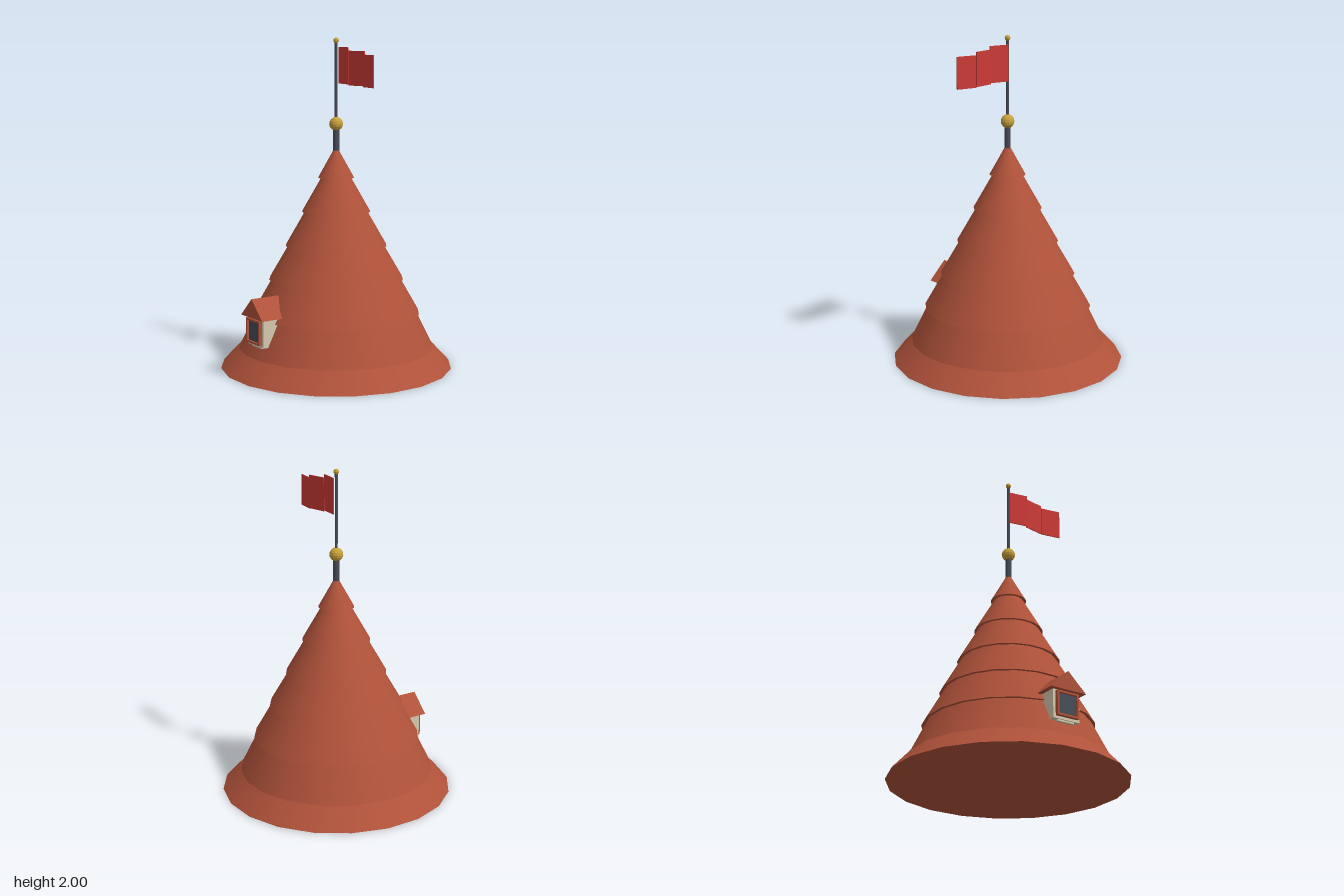
import * as THREE from 'three';

export function createModel() {
  const model = new THREE.Group();
  const mat = (name, color, extra = {}) => {
    const m = new THREE.MeshStandardMaterial({ color, ...extra });
    m.name = name;
    return m;
  };
  const tile = mat('roof tile', 0xb0523a);
  const cream = mat('cream plaster', 0xd6cab0);
  const iron = mat('dark iron', 0x484c57);
  const gold = mat('gold', 0xc9a13c, { flatShading: true });
  const red = mat('flag red', 0xcc3a36);

  const add = (parent, name, geometry, material, x = 0, y = 0, z = 0) => {
    const mesh = new THREE.Mesh(geometry, material);
    mesh.name = name;
    mesh.position.set(x, y, z);
    parent.add(mesh);
    return mesh;
  };
  const box = (parent, name, w, h, d, material, x, y, z) =>
    add(parent, name, new THREE.BoxGeometry(w, h, d), material, x, y, z);

  // Overlapping conical roof tiers: [bottom y, bottom radius, top y, top radius]
  const SIDES = 20;
  const roof = new THREE.Group();
  roof.name = 'coneRoof';
  model.add(roof);
  const tiers = [
    [0, 0.709, 0.12, 0.597],
    [0.12, 0.597, 0.332, 0.492],
    [0.332, 0.511, 0.54, 0.392],
    [0.54, 0.411, 0.746, 0.291],
    [0.746, 0.309, 0.953, 0.19],
    [0.953, 0.208, 1.16, 0.09],
    [1.16, 0.109, 1.335, 0.012],
  ];
  tiers.forEach(([y0, r0, y1, r1], i) => {
    const g = new THREE.CylinderGeometry(r1, r0, y1 - y0, SIDES, 1, false, Math.PI / SIDES);
    add(roof, i === 0 ? 'flaredEave' : 'roofTier' + i, g, tile, 0, (y0 + y1) / 2, 0);
  });

  // Mast with gilded balls
  const mast = new THREE.Group();
  mast.name = 'mast';
  model.add(mast);
  add(mast, 'mastCollar', new THREE.CylinderGeometry(0.019, 0.019, 0.16, 10), iron, 0, 1.39, 0);
  add(mast, 'mastPole', new THREE.CylinderGeometry(0.009, 0.009, 0.52, 8), iron, 0, 1.72, 0);
  add(mast, 'mastBall', new THREE.SphereGeometry(0.042, 12, 8), gold, 0, 1.485, 0);
  add(mast, 'mastFinial', new THREE.SphereGeometry(0.017, 8, 6), gold, 0, 1.983, 0);

  // Flag in three zigzag panels, each a little shorter than the last
  const flag = new THREE.Group();
  flag.name = 'flag';
  model.add(flag);
  [[0.072, 1.945, 1.727, -0.003], [0.197, 1.925, 1.721, -0.007], [0.323, 1.905, 1.716, -0.001]]
    .forEach(([x, top, bottom, z], i) => {
      const panel = box(flag, 'flagPanel' + (i + 1), 0.128, top - bottom, 0.006, red,
        x, (top + bottom) / 2, z);
      panel.rotation.y = i % 2 ? 0.17 : -0.17;
    });

  // Dormer window on the front slope
  const dormer = new THREE.Group();
  dormer.name = 'dormer';
  model.add(dormer);
  box(dormer, 'dormerWalls', 0.176, 0.175, 0.2, cream, 0, 0.2875, 0.482);
  box(dormer, 'dormerSill', 0.11, 0.012, 0.03, cream, 0, 0.196, 0.56);
  box(dormer, 'windowPane', 0.125, 0.122, 0.008, iron, 0, 0.288, 0.586);
  for (const s of [-1, 1]) {
    box(dormer, 'frameSide', 0.012, 0.146, 0.022, tile, s * 0.066, 0.288, 0.592);
    box(dormer, 'frameRail', 0.12, 0.012, 0.022, tile, 0, 0.288 + s * 0.067, 0.592);
  }
  const gable = new THREE.Shape([
    new THREE.Vector2(-0.118, 0.37),
    new THREE.Vector2(0.118, 0.37),
    new THREE.Vector2(0, 0.484),
  ]);
  add(dormer, 'dormerRoof',
    new THREE.ExtrudeGeometry(gable, { depth: 0.24, bevelEnabled: false }), tile, 0, 0, 0.368);

  return model;
}
